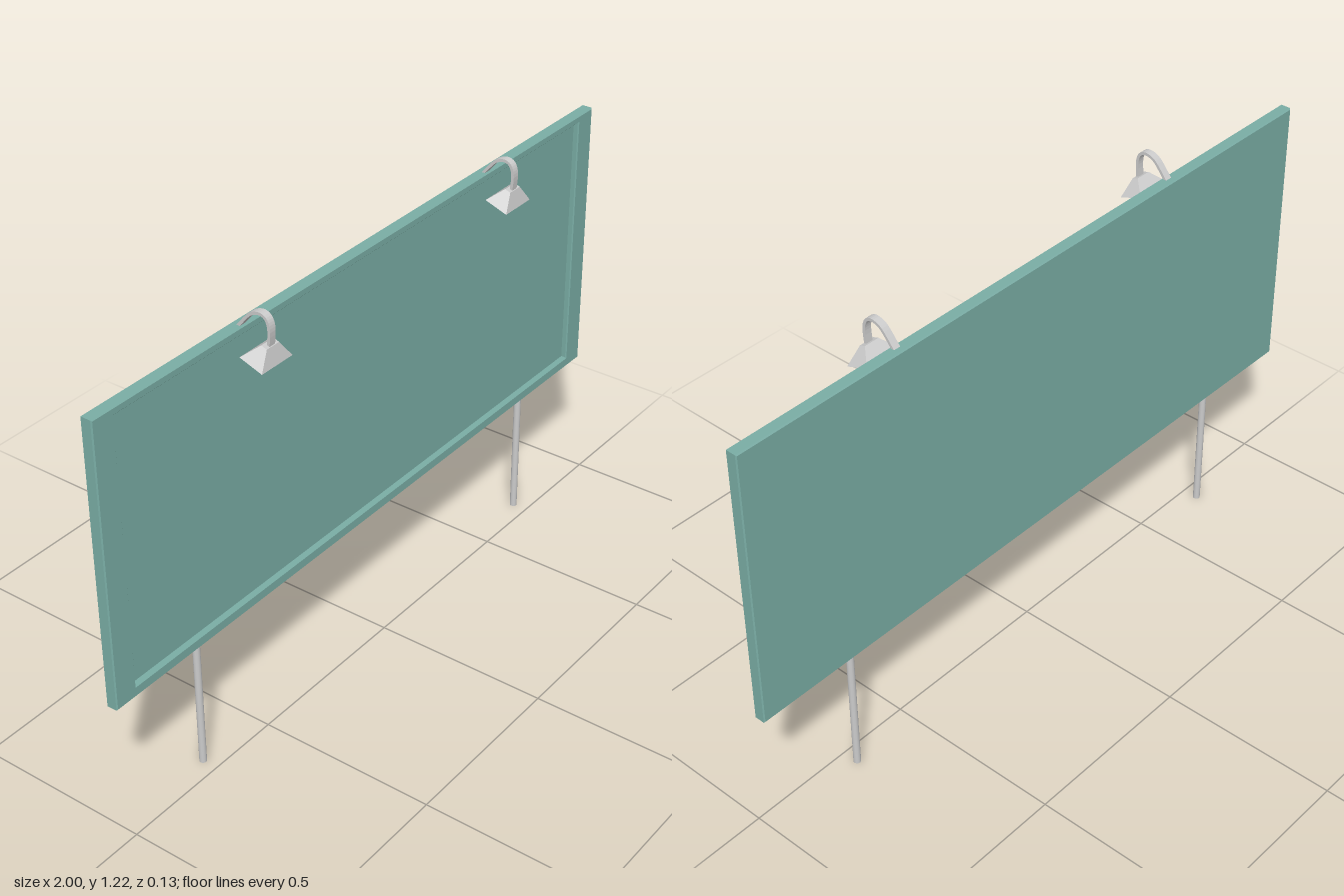
import * as THREE from 'three';

const teal = new THREE.MeshStandardMaterial({ color: 0x7aada5 });
const grey = new THREE.MeshStandardMaterial({ color: 0xcccccc });
const greyFlat = new THREE.MeshStandardMaterial({ color: 0xcccccc, flatShading: true });

function add(parent, name, geometry, material, x = 0, y = 0, z = 0) {
  const mesh = new THREE.Mesh(geometry, material);
  mesh.name = name;
  mesh.position.set(x, y, z);
  parent.add(mesh);
  return mesh;
}

const rect = (x0, y0, x1, y1) =>
  [[x0, y0], [x1, y0], [x1, y1], [x0, y1]].map(([x, y]) => new THREE.Vector2(x, y));

// Curved flat strap, drawn from the side (z, y) and extruded along x
function armGeometry(width, thickness) {
  const curve = new THREE.SplineCurve([
    [-0.045, 1.163], [-0.013, 1.202], [0.003, 1.215], [0.023, 1.221],
    [0.039, 1.216], [0.048, 1.202], [0.051, 1.18], [0.048, 1.145],
  ].map(([z, y]) => new THREE.Vector2(z, y)));
  const upper = [], lower = [], steps = 20;
  for (let i = 0; i <= steps; i++) {
    const p = curve.getPoint(i / steps), t = curve.getTangent(i / steps);
    const n = new THREE.Vector2(-t.y, t.x).multiplyScalar(thickness / 2);
    upper.push(p.clone().add(n));
    lower.unshift(p.clone().sub(n));
  }
  return new THREE.ExtrudeGeometry(new THREE.Shape([...upper, ...lower]), { depth: width, bevelEnabled: false })
    .translate(0, 0, -width / 2)
    .rotateY(-Math.PI / 2);
}

// Four-sided shade: a box whose top is drawn in
function shadeGeometry() {
  const g = new THREE.BoxGeometry(0.11, 0.04, 0.069);
  const p = g.attributes.position;
  for (let i = 0; i < p.count; i++) {
    if (p.getY(i) > 0) p.setXYZ(i, p.getX(i) * 0.4, p.getY(i), p.getZ(i) * 0.25);
  }
  g.computeVertexNormals();
  return g;
}

export function createModel() {
  const model = new THREE.Group();
  model.name = 'billboard';

  // Frame with finely chamfered edges and a large opening
  const outline = new THREE.Shape(rect(-1, 0.372, 1, 1.17));
  outline.holes.push(new THREE.Path(rect(-0.932, 0.402, 0.932, 1.149).reverse()));
  const c = 0.003;
  const frame = new THREE.ExtrudeGeometry(outline, {
    depth: 0.034 - 2 * c, bevelThickness: c, bevelSize: c, bevelOffset: -c, bevelSegments: 1,
  });
  add(model, 'frame', frame, teal, 0, 0, -0.062 + c);

  // Recessed board closing the back
  add(model, 'board', new THREE.BoxGeometry(1.876, 0.759, 0.018), teal, 0, 0.7755, -0.053);

  // Posts and lamps
  const postGeometry = new THREE.CylinderGeometry(0.01, 0.01, 0.39, 12);
  const arm = armGeometry(0.02, 0.008);
  const shade = shadeGeometry();
  for (const side of [-1, 1]) {
    const label = side > 0 ? 'left' : 'right';
    add(model, label + 'Post', postGeometry, grey, side * 0.703, 0.195, -0.045);

    const lamp = new THREE.Group();
    lamp.name = label + 'Lamp';
    lamp.position.x = side * 0.494;
    add(lamp, 'arm', arm, greyFlat);
    add(lamp, 'shade', shade, greyFlat, 0, 1.128, 0.039).rotation.x = 0.34;
    model.add(lamp);
  }
  return model;
}
